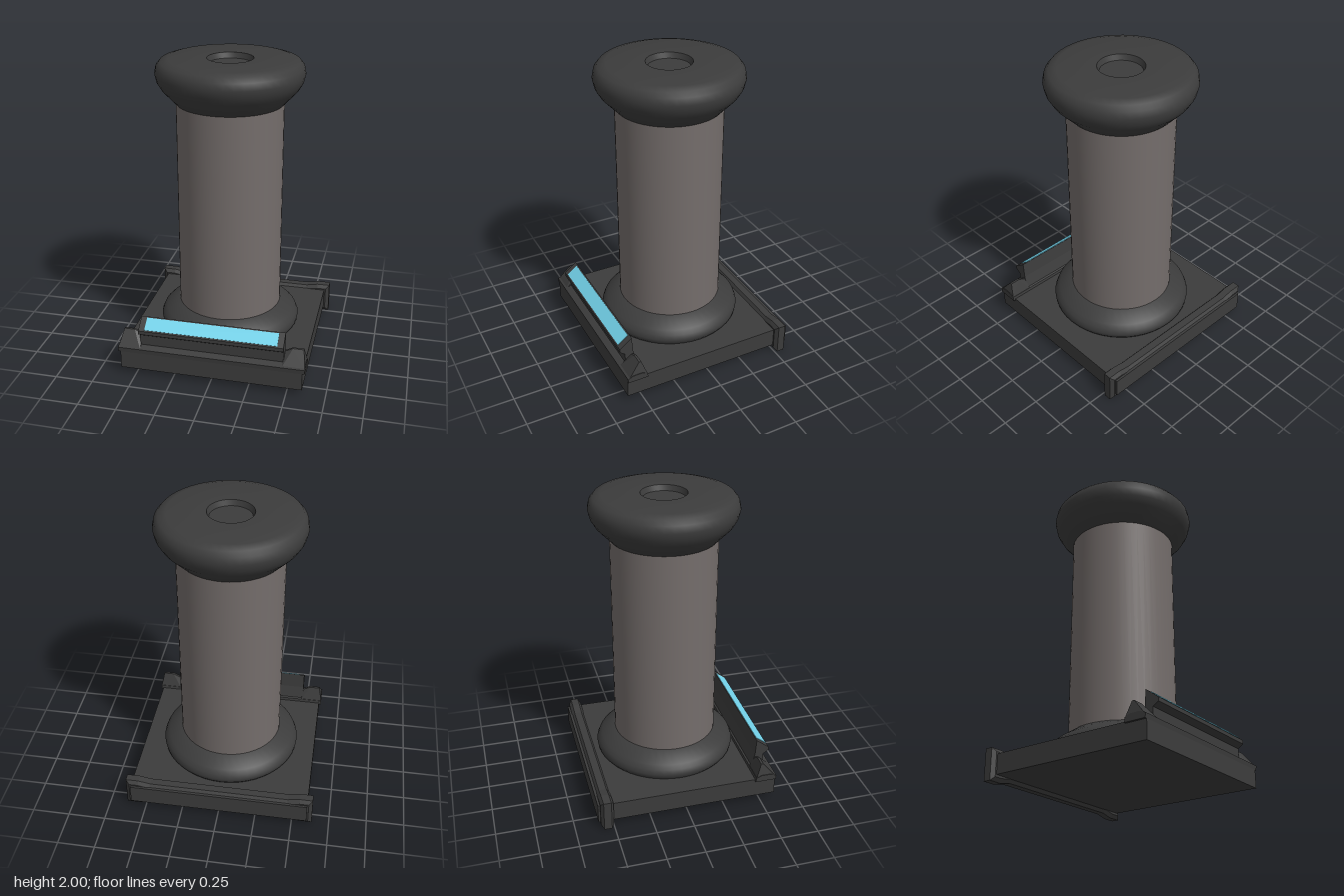
import * as THREE from 'three';
import { toCreasedNormals } from 'three/addons/utils/BufferGeometryUtils.js';
import { ConvexGeometry } from 'three/addons/geometries/ConvexGeometry.js';

const dark = new THREE.MeshStandardMaterial({ color: 0x3c3c3c });
const stone = new THREE.MeshStandardMaterial({ color: 0x746d6b });
const cyan = new THREE.MeshStandardMaterial({ color: 0x74d4ec });

const v2 = (pts) => pts.map(([x, y]) => new THREE.Vector2(x, y));

// Extrudes a (z, y) side profile across the full width, centred on x.
function sideExtrude(profile, width) {
  const g = new THREE.ExtrudeGeometry(new THREE.Shape(v2(profile)), { depth: width, bevelEnabled: false });
  return g.translate(0, 0, -width / 2).rotateY(-Math.PI / 2);
}

export function createModel() {
  const model = new THREE.Group();
  const add = (name, geometry, material = dark) => {
    const mesh = new THREE.Mesh(geometry, material);
    mesh.name = name;
    model.add(mesh);
    return mesh;
  };
  const lathe = (profile, crease) =>
    toCreasedNormals(new THREE.LatheGeometry(v2(profile), 48), crease).translate(0, 0, -0.005);

  // Base slab
  add('baseSlab', new THREE.BoxGeometry(1.2, 0.13, 1.2).translate(0, 0.105, 0));

  // Rear bumper: flared ends, bevelled all round
  const half = [[0.61, 0.025], [0.61, 0.18], [0.55, 0.18], [0.47, 0.165]];
  const top = [...half, ...half.slice(2).reverse().map(([x, y]) => [-x, y]), [-0.61, 0.18], [-0.61, 0.025]];
  const outline = [...top, [-0.55, 0.025], [-0.47, 0.043], [0.47, 0.043], [0.55, 0.025]];
  add('rearBumper', new THREE.ExtrudeGeometry(new THREE.Shape(v2(outline)), {
    depth: 0.05, bevelThickness: 0.018, bevelSize: 0.025, bevelSegments: 1,
  }).translate(0, 0, -0.568));

  // Column with its rounded foot and capital
  add('columnFoot', lathe([
    [0, 0.165], [0.45, 0.165], [0.468, 0.19], [0.472, 0.215], [0.46, 0.245],
    [0.435, 0.27], [0.345, 0.33], [0, 0.33],
  ], 0.6));
  add('columnShaft', lathe([[0.345, 0.32], [0.345, 1.73]], 0.6), stone);
  add('columnCapital', lathe([
    [0, 1.72], [0.345, 1.72], [0.435, 1.815], [0.462, 1.86], [0.474, 1.91], [0.465, 1.955],
    [0.44, 1.985], [0.39, 2], [0.147, 2], [0.133, 1.965], [0, 1.965],
  ], 0.6));

  // Console sill along the front edge
  add('consoleSill', sideExtrude([[0.46, 0.16], [0.6, 0.16], [0.603, 0.19], [0.565, 0.205], [0.5, 0.205], [0.465, 0.19]], 1.23));

  // Wedge blocks at both ends of the sill
  for (const s of [1, -1]) {
    const pts = [];
    for (const x of [0.465, 0.615]) for (const z of [0.465, 0.598]) pts.push([x, 0.185, z]);
    for (const z of [0.5, 0.515]) pts.push([0.525, 0.285, z], [0.595, 0.285, z], [0.475, 0.26, z]);
    add(s > 0 ? 'leftEndBlock' : 'rightEndBlock',
      new ConvexGeometry(pts.map(([x, y, z]) => new THREE.Vector3(s * x, y, z))));
  }

  // Display bracket with the tilted screen
  add('displayBracket', sideExtrude([
    [0.47, 0.17], [0.557, 0.17], [0.557, 0.275], [0.593, 0.3], [0.593, 0.325], [0.508, 0.39], [0.5, 0.28],
  ], 0.95));
  const screen = add('screen', new THREE.BoxGeometry(0.87, 0.006, 0.088), cyan);
  screen.position.set(0, 0.3575, 0.5505);
  screen.rotation.x = Math.atan2(0.065, 0.085);

  return model;
}
